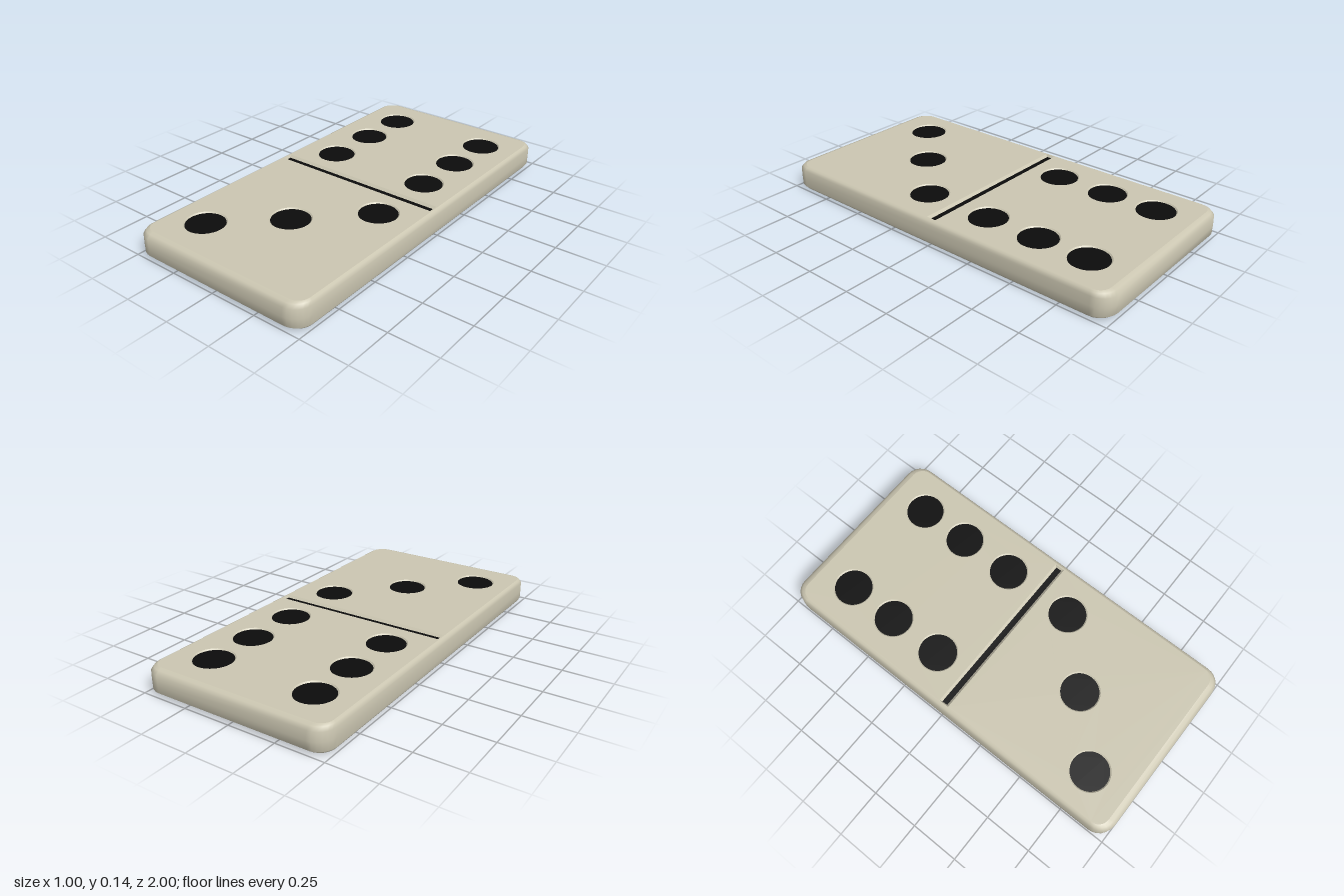
import * as THREE from 'three';

const TOP = 0.136;
const CORNER_STEPS = 6;

// Rounded rectangle outline in the x/z plane
function outline(hx, hz, r) {
  const pts = [];
  const corners = [[1, 1], [-1, 1], [-1, -1], [1, -1]];
  corners.forEach(([sx, sz], c) => {
    for (let i = 0; i <= CORNER_STEPS; i++) {
      const a = (c + i / CORNER_STEPS) * Math.PI / 2;
      pts.push([sx * (hx - r) + r * Math.cos(a), sz * (hz - r) + r * Math.sin(a)]);
    }
  });
  return pts;
}

// Loft through closed rings of points [x, y, z], ordered bottom to top
function loft(rings) {
  const n = rings[0].length, index = [];
  for (let k = 0; k < rings.length - 1; k++) {
    for (let i = 0; i < n; i++) {
      const a = k * n + i, b = k * n + (i + 1) % n;
      index.push(a, a + n, b, b, a + n, b + n);
    }
  }
  const g = new THREE.BufferGeometry();
  g.setAttribute('position', new THREE.Float32BufferAttribute(rings.flat(2), 3));
  g.setIndex(index);
  g.computeVertexNormals();
  return g;
}

// Flat face lying in x/z, facing up
function flatFace(points, holes = []) {
  const toV = ([x, z]) => new THREE.Vector2(x, -z);
  const shape = new THREE.Shape(points.map(toV));
  holes.forEach(h => shape.holes.push(new THREE.Path(h.map(toV))));
  return new THREE.ShapeGeometry(shape).rotateX(-Math.PI / 2);
}

function circle(x, z, r, n = 32) {
  return Array.from({ length: n }, (_, i) => {
    const a = i / n * Math.PI * 2;
    return [x + r * Math.cos(a), z + r * Math.sin(a)];
  });
}

const rect = (hx, hz) => [[hx, hz], [-hx, hz], [-hx, -hz], [hx, -hz]];

export function createModel() {
  const group = new THREE.Group();
  const ivory = new THREE.MeshStandardMaterial({ color: 0xcbc6b1 });
  const ivoryThin = new THREE.MeshStandardMaterial({ color: 0xcbc6b1, side: THREE.DoubleSide });
  const black = new THREE.MeshStandardMaterial({ color: 0x0c0c0c });
  const add = (name, geometry, material, y = 0) => {
    const mesh = new THREE.Mesh(geometry, material);
    mesh.name = name;
    mesh.position.y = y;
    group.add(mesh);
    return mesh;
  };

  // Softly rounded sides: [y, half width, half length, corner radius]
  const sections = [
    [0, 0.475, 0.955, 0.06],
    [0.008, 0.486, 0.978, 0.075],
    [0.024, 0.497, 0.997, 0.085],
    [0.068, 0.498, 1.0, 0.09],
    [0.114, 0.497, 0.997, 0.085],
    [0.13, 0.488, 0.98, 0.075],
    [TOP, 0.477, 0.96, 0.06],
  ];
  const rings = sections.map(([y, hx, hz, r]) => outline(hx, hz, r).map(([x, z]) => [x, y, z]));
  add('sides', loft(rings), ivory);
  add('bottomFace', flatFace(outline(0.475, 0.955, 0.06)).rotateX(Math.PI), ivory);

  // Six spots on the back half, three on a diagonal at the front
  const pips = [[0.285, 0.19], [-0.005, 0.485], [-0.29, 0.757]];
  for (const x of [-0.285, 0.285]) {
    for (const z of [-0.765, -0.49, -0.195]) pips.push([x, z]);
  }
  const rim = 0.103, floor = 0.097, depth = 0.006;

  // Top face pierced for the spots and the dividing groove
  const holes = pips.map(([x, z]) => circle(x, z, rim));
  holes.push(rect(0.47, 0.027));
  add('topFace', flatFace(outline(0.477, 0.96, 0.06), holes), ivory, TOP);

  // Shallow wells with dark floors
  pips.forEach(([x, z]) => {
    const at = (r, y) => circle(x, z, r).map(([px, pz]) => [px, y, pz]);
    add('pipRim', loft([at(floor, TOP - depth), at(rim, TOP)]), ivoryThin);
    add('pip', flatFace(circle(x, z, floor)), black, TOP - depth);
  });

  // Sloped groove with a dark strip at its bottom
  const level = (hx, hz, y) => rect(hx, hz).map(([x, z]) => [x, y, z]);
  const slopes = loft([level(0.463, 0.015, TOP - 0.012), level(0.47, 0.027, TOP)]).toNonIndexed();
  slopes.computeVertexNormals();
  add('grooveSlopes', slopes, ivoryThin);
  add('dividerLine', flatFace(rect(0.463, 0.015)), black, TOP - 0.012);

  return group;
}
